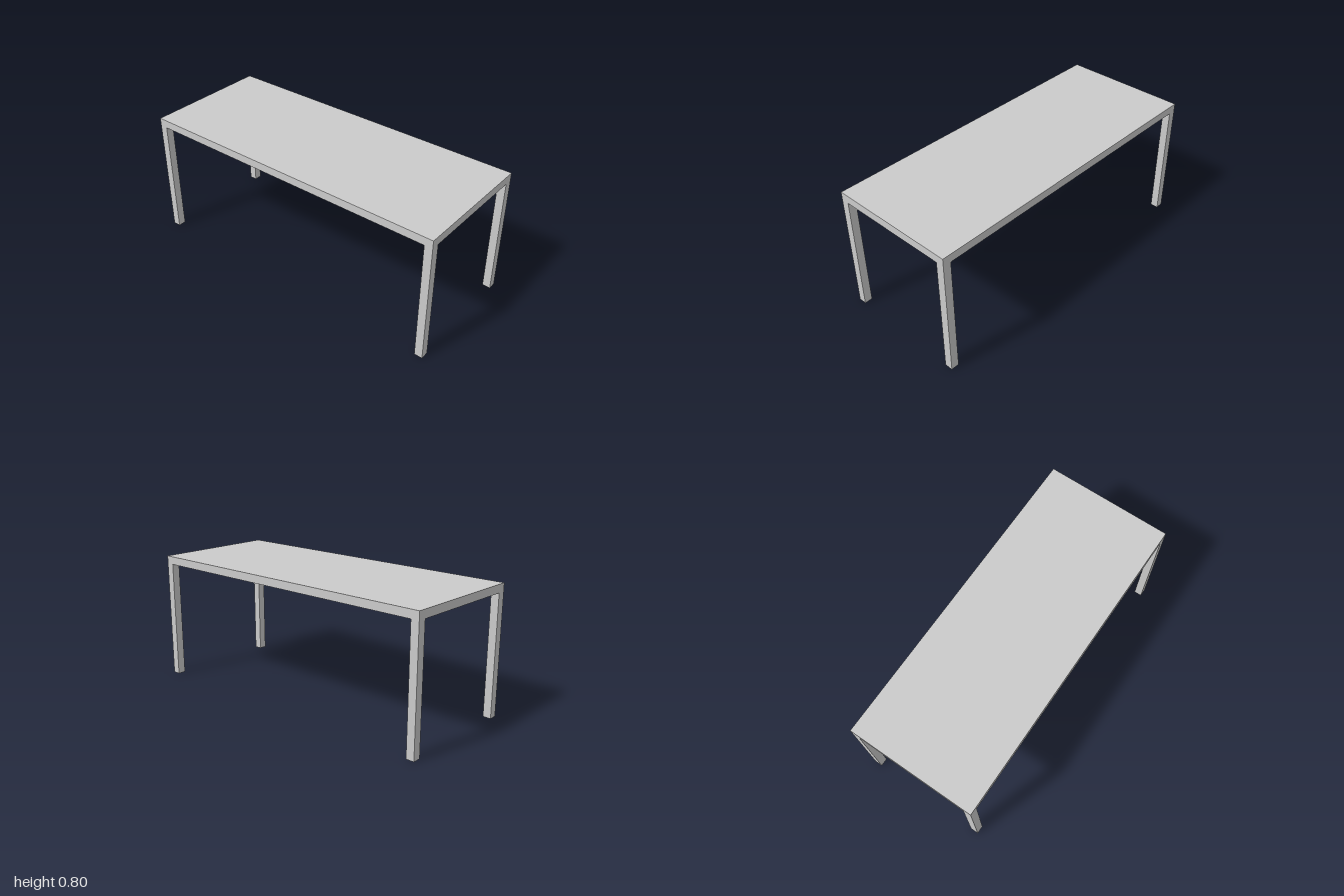
import * as THREE from 'three';

const W = 2, H = 0.8, D = 0.8, T = 0.05; // overall size and bar thickness

export function createModel() {
  const table = new THREE.Group();
  table.name = 'table';
  const material = new THREE.MeshStandardMaterial({
    color: 0xcccccc, flatShading: true, side: THREE.DoubleSide,
  });

  const add = (name, geometry, x, y, z) => {
    const mesh = new THREE.Mesh(geometry, material);
    mesh.name = name;
    mesh.position.set(x, y, z);
    table.add(mesh);
  };

  // Thin sheet forming the top, open underneath
  add('tableTop', new THREE.PlaneGeometry(W, D).rotateX(-Math.PI / 2), 0, H, 0);

  for (const s of [1, -1]) {
    const side = s > 0 ? 'left' : 'right';
    const turn = s > 0 ? 0 : Math.PI;

    // Thin skirts folded down along all four edges
    add(s > 0 ? 'frontSkirt' : 'backSkirt',
      new THREE.PlaneGeometry(W, T).rotateY(turn), 0, H - T / 2, s * D / 2);
    add(side + 'Skirt',
      new THREE.PlaneGeometry(D, T).rotateY(s * Math.PI / 2), s * W / 2, H - T / 2, 0);

    // Flange closing the underside of each end, between the legs
    add(side + 'Flange',
      new THREE.PlaneGeometry(T, D - 2 * T).rotateX(Math.PI / 2), s * (W - T) / 2, H - T, 0);

    // Square corner legs
    for (const f of [1, -1]) {
      add(side + (f > 0 ? 'FrontLeg' : 'BackLeg'),
        new THREE.BoxGeometry(T, H - T, T), s * (W - T) / 2, (H - T) / 2, f * (D - T) / 2);
    }
  }
  return table;
}
